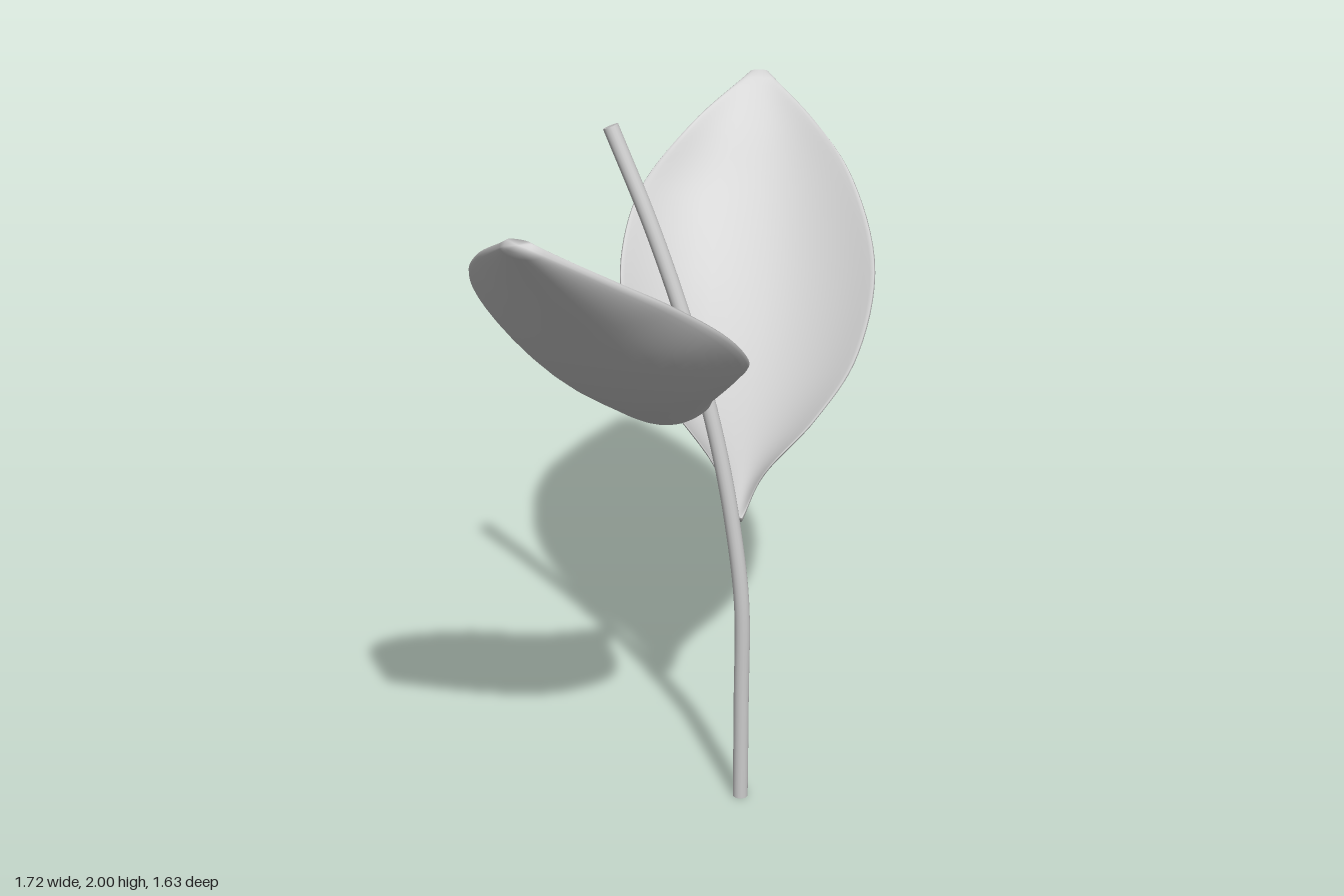
import * as THREE from 'three';

const material = new THREE.MeshStandardMaterial({ color: 0xcccccc, side: THREE.DoubleSide });
const curve = (pts) => new THREE.CatmullRomCurve3(pts.map((p) => new THREE.Vector3(...p)));

// Cupped leaf: closed thin sections strung between two matching edge curves
function createLeaf(name, edgeA, edgeB, depth) {
  const a = curve(edgeA), b = curve(edgeB);
  const rows = 48, around = 44, halfThickness = 0.016;
  const base = a.getPoint(0);
  const along = a.getPoint(1).sub(base);
  const down = b.getPoint(0.5).sub(a.getPoint(0.5)).cross(along).normalize();
  const positions = [], index = [];

  for (let i = 0; i <= rows; i++) {
    const t = i / rows;
    const pa = a.getPoint(t), pb = b.getPoint(t);
    // Depth follows the true distance from base to tip, fullest nearer the base
    const reach = pa.clone().lerp(pb, 0.5).sub(base).dot(along) / along.lengthSq();
    const sag = depth * Math.sin(Math.PI * Math.pow(THREE.MathUtils.clamp(reach, 0, 1), 0.8));
    for (let j = 0; j < around; j++) {
      const angle = (j / around) * Math.PI * 2;
      const u = Math.cos(angle), s = Math.sin(angle);
      const skin = halfThickness * Math.sign(s) * Math.sqrt(Math.abs(s));
      const p = pa.clone().lerp(pb, (u + 1) / 2);
      p.addScaledVector(down, sag * (1 - Math.pow(Math.abs(u), 2.3)) + skin);
      positions.push(p.x, p.y, p.z);
    }
  }
  for (let i = 0; i < rows; i++) {
    for (let j = 0; j < around; j++) {
      const k = (j + 1) % around;
      const p = i * around + j, q = i * around + k;
      index.push(p, p + around, q, q, p + around, q + around);
    }
  }
  // Close the stalk end and the tip
  for (const t of [0, 1]) {
    const c = a.getPoint(t).lerp(b.getPoint(t), 0.5);
    const centre = positions.length / 3, start = t * rows * around;
    positions.push(c.x, c.y, c.z);
    for (let j = 0; j < around; j++) {
      const p = start + j, q = start + ((j + 1) % around);
      if (t === 0) index.push(centre, p, q);
      else index.push(centre, q, p);
    }
  }
  const geometry = new THREE.BufferGeometry();
  geometry.setAttribute('position', new THREE.Float32BufferAttribute(positions, 3));
  geometry.setIndex(index);
  geometry.computeVertexNormals();
  const mesh = new THREE.Mesh(geometry, material);
  mesh.name = name;
  return mesh;
}

// Stem: straight below, leaning back above in one plane, with flat ends
function createStem() {
  const group = new THREE.Group();
  group.name = 'stem';
  const lean = [[0, 0], [0.3, 0], [0.6, 0.005], [0.83, 0.08], [1.02, 0.175],
    [1.2, 0.295], [1.4, 0.46], [1.65, 0.71], [1.895, 1]];
  const path = curve(lean.map(([y, k]) => [0.1 - 0.21 * k, y, 0.2 - 0.33 * k]));
  const radius = 0.021;
  const tube = new THREE.Mesh(new THREE.TubeGeometry(path, 64, radius, 16), material);
  tube.name = 'stemTube';
  group.add(tube);
  for (const t of [0, 1]) {
    const cap = new THREE.Mesh(new THREE.CircleGeometry(radius, 16), material);
    const outward = path.getTangent(t).multiplyScalar(t ? 1 : -1);
    cap.quaternion.setFromUnitVectors(new THREE.Vector3(0, 0, 1), outward);
    cap.position.copy(path.getPoint(t));
    cap.name = t ? 'stemTopCap' : 'stemBottomCap';
    group.add(cap);
  }
  return group;
}

export function createModel() {
  const model = new THREE.Group();
  model.name = 'sprig';
  model.add(createStem());

  // Lower leaf, reaching back and to the left
  model.add(createLeaf('lowerLeaf',
    [[0.12, 0.83, 0.165], [0.235, 0.9, 0.085], [0.44, 1.0, 0.03], [0.62, 1.115, -0.045],
      [0.785, 1.3, -0.205], [0.855, 1.49, -0.44], [0.84, 1.6, -0.6], [0.79, 1.71, -0.785]],
    [[0.1, 0.835, 0.14], [0.115, 0.93, 0.035], [0.09, 1.09, -0.275], [0.122, 1.21, -0.47],
      [0.2, 1.32, -0.62], [0.33, 1.455, -0.735], [0.53, 1.6, -0.785], [0.745, 1.71, -0.813]],
    0.135));

  // Upper leaf, reaching forward and to the right
  model.add(createLeaf('upperLeaf',
    [[0.035, 1.185, 0.115], [-0.2, 1.285, 0.12], [-0.385, 1.415, 0.105], [-0.54, 1.525, 0.135],
      [-0.68, 1.66, 0.22], [-0.77, 1.785, 0.34], [-0.815, 1.875, 0.47], [-0.86, 1.99, 0.7]],
    [[0.035, 1.185, 0.14], [-0.04, 1.295, 0.3], [-0.1, 1.425, 0.5], [-0.18, 1.54, 0.665],
      [-0.32, 1.675, 0.78], [-0.48, 1.79, 0.808], [-0.615, 1.87, 0.795], [-0.815, 1.985, 0.745]],
    0.135));
  return model;
}
